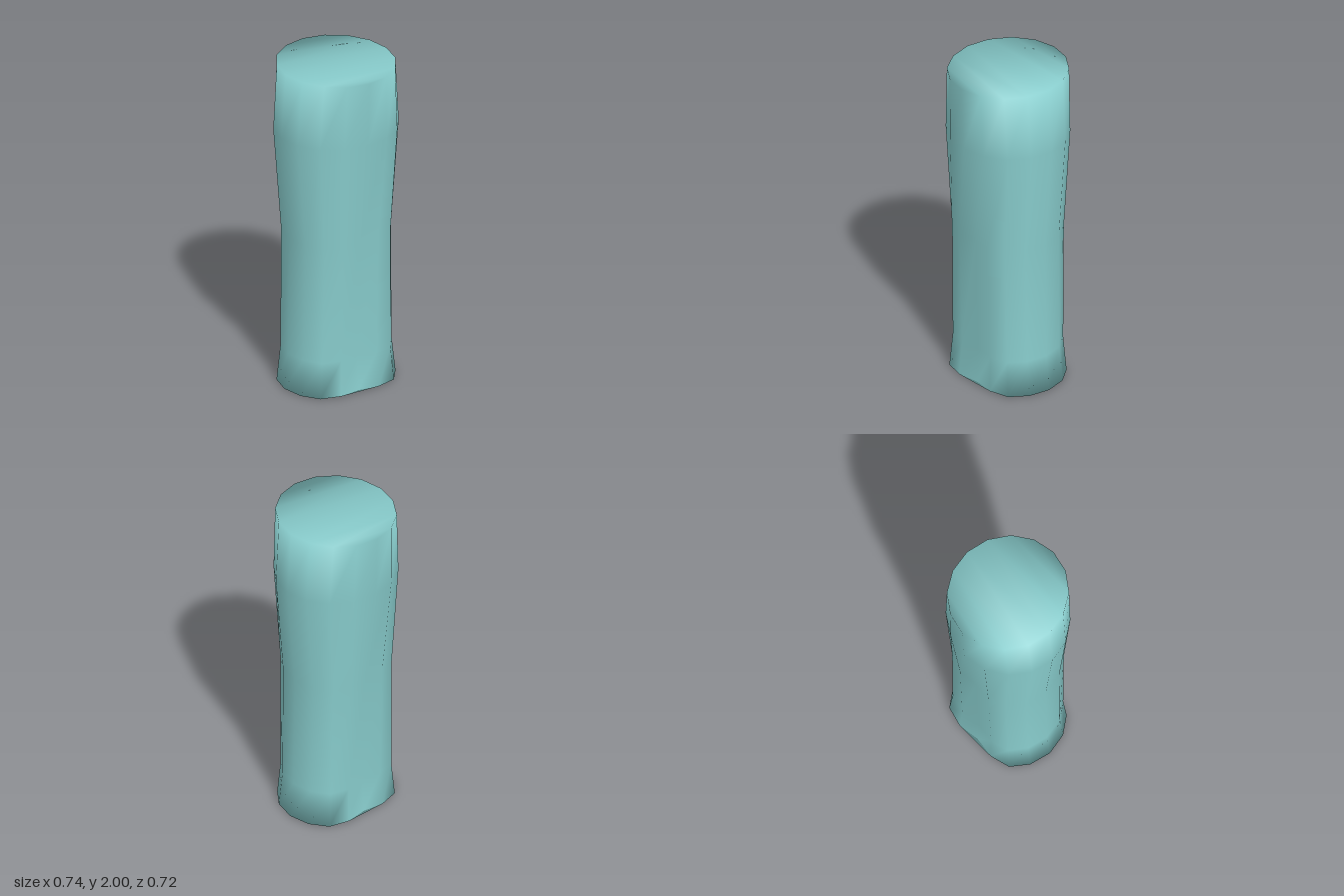
import * as THREE from 'three';

const SIDES = 16;
// Quarter section of the pinched, boxy lower grip as [x, z] factors, from front centre to side
const BOXY = [[0, 0.93], [0.37, 1], [0.71, 0.88], [0.92, 0.5], [1, 0]];
// Rings from bottom to top: height, half width, half depth, amount of boxiness
const RINGS = [
  [0.003, 0.35, 0.26, 1],
  [0.22, 0.325, 0.248, 1],
  [0.95, 0.315, 0.272, 0.8],
  [1.6, 0.37, 0.347, 0],
  [2, 0.342, 0.36, 0],
];

// Point j of a section, blended between a circle and the boxy outline
function sectionPoint(j, boxy) {
  const angle = (j / SIDES) * Math.PI * 2;
  const half = j <= SIDES / 2 ? j : SIDES - j;
  const quarter = half <= 4 ? half : 8 - half;
  const sx = j <= SIDES / 2 ? 1 : -1;
  const sz = half <= 4 ? 1 : -1;
  const [bx, bz] = BOXY[quarter];
  return [
    THREE.MathUtils.lerp(Math.sin(angle), bx * sx, boxy),
    THREE.MathUtils.lerp(Math.cos(angle), bz * sz, boxy),
  ];
}

function gripGeometry() {
  const positions = [];
  const index = [];
  for (const [y, w, d, boxy] of RINGS) {
    for (let j = 0; j < SIDES; j++) {
      const [x, z] = sectionPoint(j, boxy);
      positions.push(x * w, y, z * d);
    }
  }
  // Side wall
  for (let i = 0; i < RINGS.length - 1; i++) {
    for (let j = 0; j < SIDES; j++) {
      const a = i * SIDES + j;
      const b = i * SIDES + ((j + 1) % SIDES);
      index.push(a, b, b + SIDES, a, b + SIDES, a + SIDES);
    }
  }
  // End caps in strips across the width, sharing the wall's smooth normals
  const top = (RINGS.length - 1) * SIDES;
  for (let k = 0; k < SIDES / 2; k++) {
    const a = k, b = k + 1, c = SIDES - k - 1, d = (SIDES - k) % SIDES;
    const triangles = [];
    if (b !== c) triangles.push([a, b, c]);
    if (a !== d) triangles.push([a, c, d]);
    for (const [p, q, r] of triangles) {
      index.push(top + p, top + q, top + r, p, r, q);
    }
  }
  const geometry = new THREE.BufferGeometry();
  geometry.setAttribute('position', new THREE.Float32BufferAttribute(positions, 3));
  geometry.setIndex(index);
  geometry.computeVertexNormals();
  return geometry;
}

export function createModel() {
  const group = new THREE.Group();
  group.name = 'handle';
  const material = new THREE.MeshStandardMaterial({ color: 0x88cccc });

  const grip = new THREE.Mesh(gripGeometry(), material);
  grip.name = 'grip';
  group.add(grip);

  // Round end of the core, flush with the underside
  const core = new THREE.Mesh(new THREE.CircleGeometry(0.23, 32), material);
  core.name = 'coreEnd';
  core.rotation.x = Math.PI / 2;
  group.add(core);

  return group;
}
